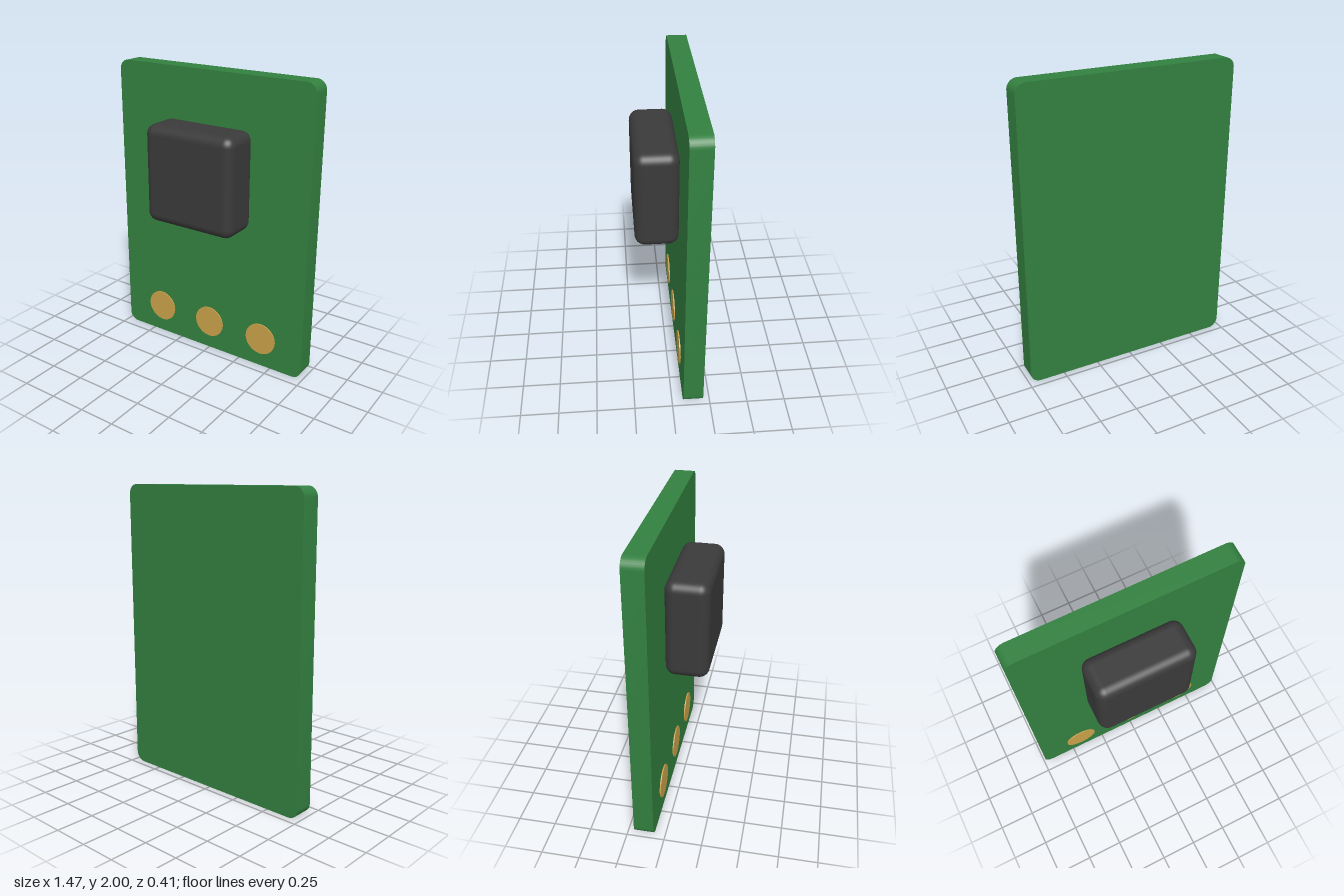
import * as THREE from 'three';
import { toCreasedNormals } from 'three/addons/utils/BufferGeometryUtils.js';
import { RoundedBoxGeometry } from 'three/addons/geometries/RoundedBoxGeometry.js';

const BACK = -0.205, FRONT = -0.073; // board faces along z

function roundedRect(w, h, r) {
  const s = new THREE.Shape();
  const x = w / 2, y = h / 2;
  s.absarc(x - r, y - r, r, 0, Math.PI / 2);
  s.absarc(-x + r, y - r, r, Math.PI / 2, Math.PI);
  s.absarc(-x + r, -y + r, r, Math.PI, Math.PI * 1.5);
  s.absarc(x - r, -y + r, r, Math.PI * 1.5, Math.PI * 2);
  s.closePath();
  return s;
}

export function createModel() {
  const model = new THREE.Group();
  model.name = 'sensorBoard';

  const add = (name, geometry, color, x, y, z) => {
    const mesh = new THREE.Mesh(geometry, new THREE.MeshStandardMaterial({ color }));
    mesh.name = name;
    mesh.position.set(x, y, z);
    model.add(mesh);
  };

  // Circuit board with rounded corners and sharp rims
  const board = new THREE.ExtrudeGeometry(roundedRect(1.47, 2, 0.066), {
    depth: FRONT - BACK, bevelEnabled: false, curveSegments: 10,
  });
  add('circuitBoard', toCreasedNormals(board, Math.PI / 4), 0x338040, 0, 1, BACK);

  // Chip housing standing on the front face
  add('chip', new RoundedBoxGeometry(0.66, 0.66, 0.28, 6, 0.065), 0x3a3a3a, 0, 1.335, 0.065);

  // Row of thin round solder pads
  const pad = new THREE.CylinderGeometry(0.113, 0.113, 0.02, 48).rotateX(Math.PI / 2);
  ['rightPad', 'middlePad', 'leftPad'].forEach((name, i) => {
    add(name, pad, 0xc9a24a, (i - 1) * 0.42, 0.21, FRONT - 0.002);
  });

  return model;
}
